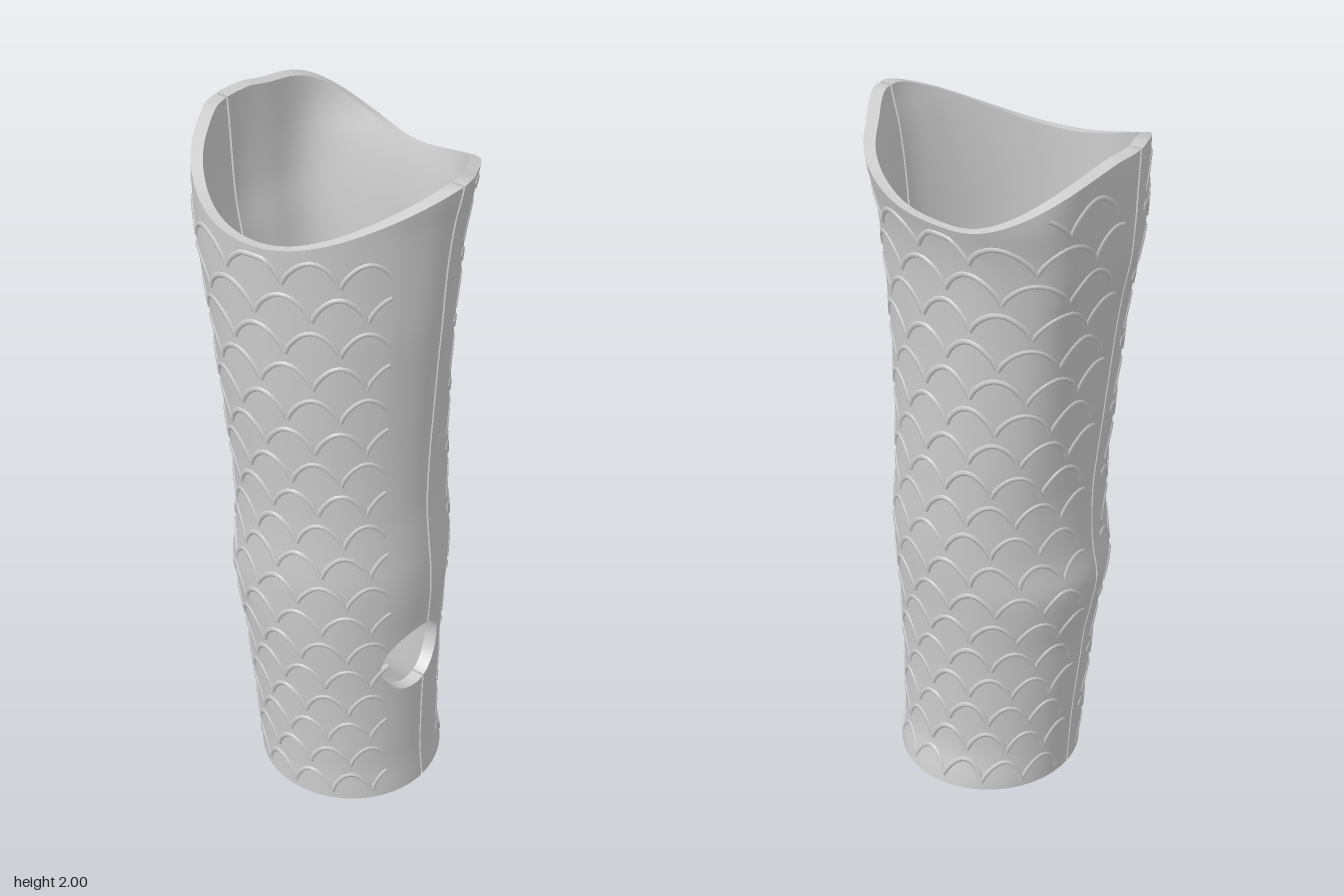
import * as THREE from 'three';
import { mergeGeometries, mergeVertices } from 'three/addons/utils/BufferGeometryUtils.js';

// Outline extents every 0.1 of height, from the bottom up
const X_MIN = [-.21, -.217, -.225, -.235, -.245, -.255, -.275, -.29, -.277, -.274, -.276, -.285, -.295, -.304, -.315, -.328, -.345, -.366, -.375, -.378, -.38];
const X_MAX = [.312, .305, .305, .305, .306, .309, .313, .32, .32, .313, .306, .305, .306, .31, .315, .323, .333, .341, .35, .362, .38];
const Z_MIN = [-.25, -.228, -.225, -.227, -.23, -.237, -.245, -.254, -.26, -.263, -.265, -.268, -.27, -.272, -.275, -.279, -.285, -.295, -.315, -.345, -.352];
const Z_MAX = [.277, .276, .28, .285, .29, .297, .305, .309, .31, .306, .305, .309, .315, .322, .328, .331, .334, .337, .339, .341, .342];
// Roundness of the mouth: radius factors every 22.5 degrees from the left side
const MOUTH = [1, .95, .92, .935, .985, 1.03, 1.01, .98, 1, 1.02, 1.15, 1.09, .975, .98, .98, .95];

const SEAM_Z = 0.02, GAP = 0.012;
const HOLE_Y = 0.49, HOLE_Z = 0.06, HOLE_R = 0.108;
const HOLE_COLS = 16, COLS = 64, LOW = 20, HIGH = 64;

// Catmull-Rom lookup in a list, closed or clamped
function sample(list, u, closed) {
  const n = list.length, i = Math.floor(u), t = u - i;
  const at = (k) => list[closed ? ((k % n) + n) % n : Math.min(n - 1, Math.max(0, k))];
  const a = at(i - 1), b = at(i), c = at(i + 1), d = at(i + 2);
  return b + 0.5 * t * (c - a + t * (2 * a - 5 * b + 4 * c - d + t * (3 * (b - c) + d - a)));
}

// Point on the sleeve wall; inset moves it inward (0 outside, 1 inside)
function wall(angle, y, inset = 0) {
  const u = y * 10;
  const lo = sample(X_MIN, u), hi = sample(X_MAX, u);
  const blend = THREE.MathUtils.smoothstep(y, 0.7, 1.9);
  const k = 1 + (sample(MOUTH, angle / (Math.PI / 8), true) - 1) * blend;
  const a = angle + 0.018 * Math.sin(y * 8) * Math.cos(angle) ** 2;
  const s = Math.sin(a);
  const hz = s > 0 ? sample(Z_MAX, u) - SEAM_Z : SEAM_Z - sample(Z_MIN, u);
  return new THREE.Vector3(
    (lo + hi) / 2 + ((hi - lo) / 2 - 0.036 * inset) * k * Math.cos(a), y,
    SEAM_Z + (hz - 0.023 * inset) * k * s);
}

// The mouth dips at front and back and peaks at both seams
function rimHeight(angle) {
  return 1.845 + 0.155 * Math.min(1, (wall(angle, 1.95).x / 0.37) ** 2);
}

function holeDepth(side) {
  return side > 0 ? sample(Z_MAX, HOLE_Y * 10) - SEAM_Z : SEAM_Z - sample(Z_MIN, HOLE_Y * 10);
}

// Half the hole's height at a given angle
function holeChord(angle, side) {
  if (Math.cos(angle) < 0) return 0;
  const dz = SEAM_Z + Math.sin(angle) * holeDepth(side) - HOLE_Z;
  const c2 = HOLE_R * HOLE_R - dz * dz;
  return c2 > 1e-7 ? Math.sqrt(c2) : 0;
}

// Grid of points on one half; rows LOW and LOW + 1 part to form the hole
function halfGrid(side, inset) {
  const edge = Math.asin((HOLE_R + side * (HOLE_Z - SEAM_Z)) / holeDepth(side));
  const grid = [];
  for (let i = 0; i <= HOLE_COLS + COLS; i++) {
    const t = i <= HOLE_COLS
      ? THREE.MathUtils.lerp(GAP, edge, Math.sin(i / HOLE_COLS * Math.PI / 2))
      : THREE.MathUtils.lerp(edge, Math.PI - GAP, (i - HOLE_COLS) / COLS);
    const angle = side * t, top = rimHeight(angle);
    const c = i < HOLE_COLS ? holeChord(angle, side) : 0;
    const column = [];
    for (let j = 0; j <= LOW; j++) column.push(wall(angle, (HOLE_Y - c) * j / LOW, inset));
    for (let j = 0; j <= HIGH; j++) column.push(wall(angle, THREE.MathUtils.lerp(HOLE_Y + c, top, j / HIGH), inset));
    grid.push(column);
  }
  return grid;
}

function sheet(grid, flip) {
  const rows = grid[0].length, index = [];
  for (let i = 0; i < grid.length - 1; i++) {
    for (let j = 0; j < rows - 1; j++) {
      if (j === LOW) continue;
      const a = i * rows + j, b = a + rows, c = b + 1, d = a + 1;
      if (flip) index.push(a, d, c, a, c, b);
      else index.push(a, b, c, a, c, d);
    }
  }
  let geo = new THREE.BufferGeometry().setFromPoints(grid.flat());
  geo.setIndex(index);
  geo = mergeVertices(geo, 1e-5);
  geo.computeVertexNormals();
  return geo;
}

// Strip joining matching outer and inner border points
function ribbon(outer, inner) {
  const index = [], points = outer.flatMap((p, i) => [p, inner[i]]);
  for (let i = 0; i < outer.length - 1; i++) {
    const a = i * 2;
    index.push(a, a + 1, a + 3, a, a + 3, a + 2);
  }
  const geo = new THREE.BufferGeometry().setFromPoints(points);
  geo.setIndex(index);
  geo.computeVertexNormals();
  return geo;
}

function borders(grid) {
  const row = (j, n = grid.length) => grid.slice(0, n).map((column) => column[j]);
  const first = grid[0], last = grid[grid.length - 1];
  return [row(0), row(LOW + HIGH + 1), row(LOW, HOLE_COLS + 1), row(LOW + 1, HOLE_COLS + 1),
    first.slice(0, LOW + 1), first.slice(LOW + 1), last];
}

// Raised scale arcs in staggered rows, kept clear of the seams
function scales(side) {
  const arcs = [], step = 0.45, from = side > 0 ? 0.48 : 0.4, to = Math.PI - 0.14;
  for (let r = 0; r < 19; r++) {
    const base = 0.025 + r * 0.102;
    for (let n = 0; n < 8; n++) {
      const middle = (n + (r % 2 ? 0.5 : 0)) * step;
      const points = [];
      for (let i = 0; i <= 14; i++) {
        const t = i / 14, a = middle + (t - 0.5) * step;
        const y = base + 0.068 * Math.sin(Math.PI * t) ** 0.75;
        if (a < from || a > to || y > rimHeight(side * a) - 0.03) continue;
        points.push(wall(side * a, y, 0.12));
      }
      if (points.length < 5) continue;
      arcs.push(new THREE.TubeGeometry(new THREE.CatmullRomCurve3(points), 14, 0.0085, 6));
    }
  }
  return mergeGeometries(arcs);
}

export function createModel() {
  const model = new THREE.Group();
  model.name = 'sleeve';
  const solid = new THREE.MeshStandardMaterial({ color: 0xcccccc });
  const open = new THREE.MeshStandardMaterial({ color: 0xcccccc, side: THREE.DoubleSide });

  for (const [name, side] of [['front', 1], ['back', -1]]) {
    const half = new THREE.Group();
    half.name = name + 'Half';
    const outer = halfGrid(side, 0), inner = halfGrid(side, 1);
    const innerBorders = borders(inner);
    const edges = mergeGeometries(borders(outer).map((line, i) => ribbon(line, innerBorders[i])));
    const add = (part, geo, material) => {
      const mesh = new THREE.Mesh(geo, material);
      mesh.name = name + part;
      half.add(mesh);
    };
    add('OuterWall', sheet(outer, side > 0), solid);
    add('InnerWall', sheet(inner, side < 0), solid);
    add('Edges', edges, open);
    add('Scales', scales(side), open);
    model.add(half);
  }
  return model;
}
